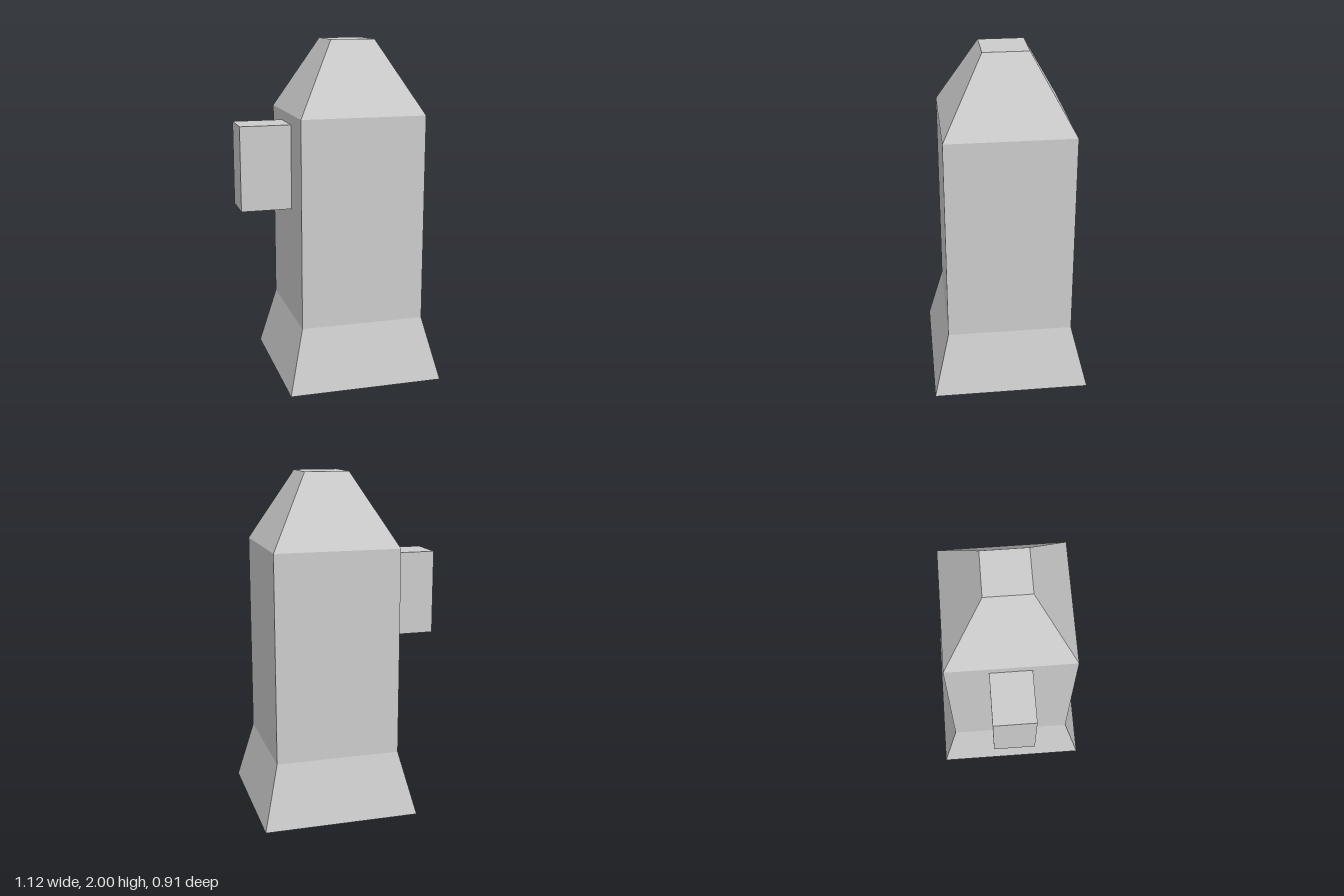
import * as THREE from 'three';

const material = new THREE.MeshStandardMaterial({ color: 0xcccccc, flatShading: true });

// Square-section solid of revolution: profile of [half width, height]
function squareLathe(profile) {
  const points = profile.map(([half, y]) => new THREE.Vector2(half * Math.SQRT2, y));
  const geometry = new THREE.LatheGeometry(points, 4, Math.PI / 4).toNonIndexed();
  geometry.computeVertexNormals();
  return geometry;
}

export function createModel() {
  const model = new THREE.Group();
  model.name = 'tower';

  // Body: recessed underside, flared base, straight shaft, tapered top
  const body = new THREE.Mesh(squareLathe([
    [0, 0.25], [0.352, 0.25], [0.352, 0],
    [0.457, 0], [0.365, 0.37], [0.365, 1.58], [0.13, 2], [0, 2],
  ]), material);
  body.name = 'body';
  body.position.x = 0.102;
  model.add(body);

  // Block projecting from the side of the shaft
  const block = new THREE.Mesh(new THREE.BoxGeometry(0.298, 0.495, 0.238), material);
  block.name = 'sideBlock';
  block.position.set(-0.411, 1.273, -0.001);
  model.add(block);

  return model;
}
